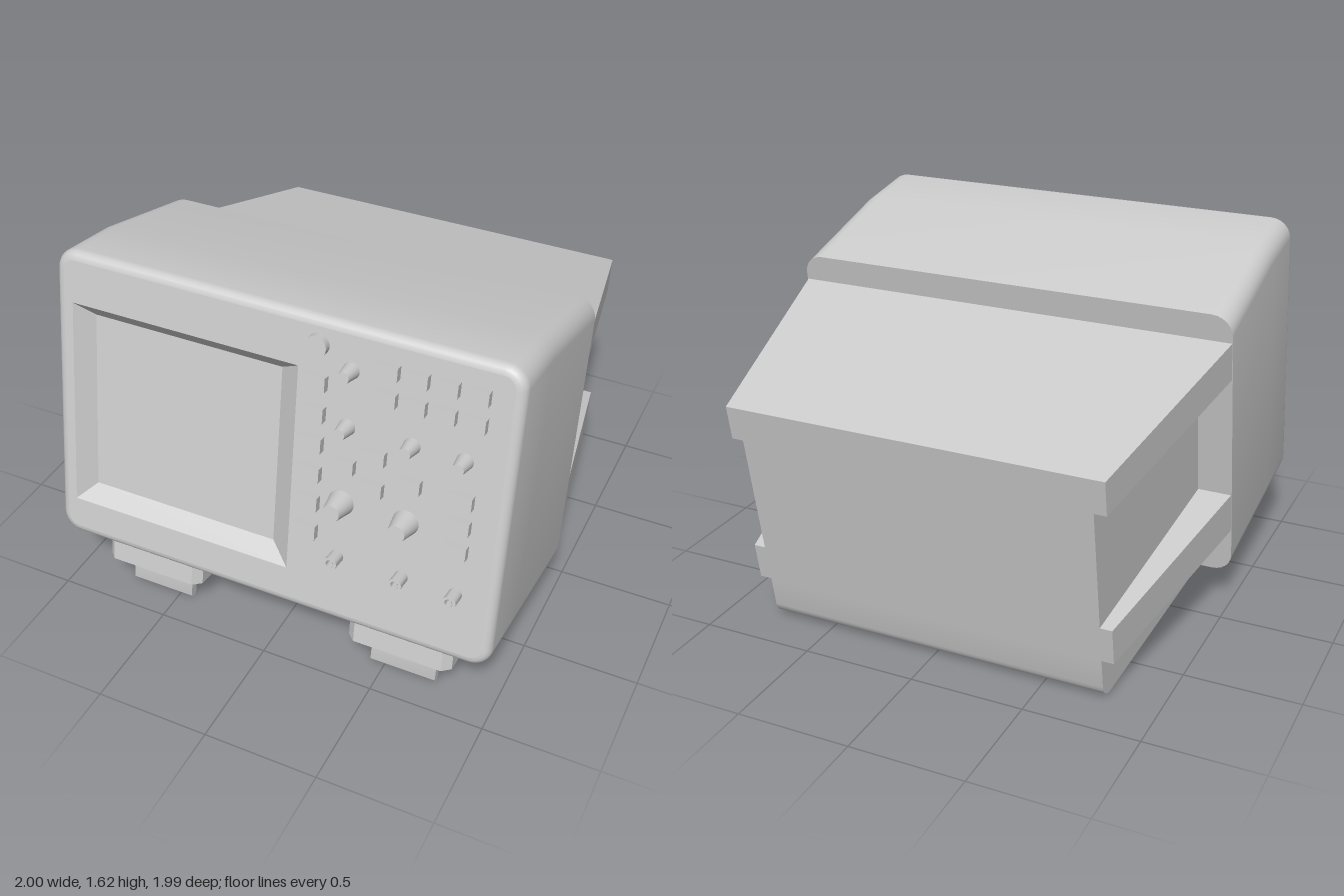
import * as THREE from 'three';
import { toCreasedNormals } from 'three/addons/utils/BufferGeometryUtils.js';

const grey = new THREE.MeshStandardMaterial({ color: 0xcccccc });
const TILT = 0.171;

function mesh(name, geometry, parent, x = 0, y = 0, z = 0) {
  const m = new THREE.Mesh(geometry, grey);
  m.name = name;
  m.position.set(x, y, z);
  parent.add(m);
  return m;
}

// Skin a row of equal-length cross-sections, each { z, pts: [[x, y], ...] }
function loft(sections, capStart, capEnd) {
  const pos = [];
  const put = (s, j) => pos.push(s.pts[j][0], s.pts[j][1], s.z);
  const n = sections[0].pts.length;
  for (let i = 0; i < sections.length - 1; i++) {
    const f = sections[i], b = sections[i + 1];
    for (let j = 0; j < n; j++) {
      const k = (j + 1) % n;
      put(f, j); put(b, j); put(b, k);
      put(f, j); put(b, k); put(f, k);
    }
  }
  const cap = (s, flip) => {
    const contour = s.pts.map(p => new THREE.Vector2(p[0], p[1]));
    for (const t of THREE.ShapeUtils.triangulateShape(contour, [])) {
      (flip ? [t[0], t[2], t[1]] : t).forEach(j => put(s, j));
    }
  };
  if (capStart) cap(sections[0], false);
  if (capEnd) cap(sections[sections.length - 1], true);
  const g = new THREE.BufferGeometry();
  g.setAttribute('position', new THREE.Float32BufferAttribute(pos, 3));
  return toCreasedNormals(g, 0.6);
}

// Counter-clockwise rounded rectangle outline
function roundedRect(x0, x1, y0, y1, r, n = 6) {
  const pts = [];
  const corners = [[x1 - r, y0 + r], [x1 - r, y1 - r], [x0 + r, y1 - r], [x0 + r, y0 + r]];
  corners.forEach(([cx, cy], c) => {
    for (let i = 0; i <= n; i++) {
      const a = (c - 1 + i / n) * Math.PI / 2;
      pts.push([cx + r * Math.cos(a), cy + r * Math.sin(a)]);
    }
  });
  return pts;
}

const rect = (x0, x1, y0, y1) => [[x0, y0], [x1, y0], [x1, y1], [x0, y1]];
const toPath = (pts, Type) => new Type(pts.map(p => new THREE.Vector2(p[0], p[1])));

function buildCase(body) {
  // Front half of the case with softened front edge and sloping top
  const R = 0.09, E = 0.04, sections = [];
  for (let i = 0; i <= 5; i++) {
    const a = i / 5 * Math.PI / 2, inset = E * (1 - Math.sin(a));
    sections.push({ z: -E * (1 - Math.cos(a)), pts: roundedRect(-1 + inset, 1 - inset, inset, 1.332 - inset, R - inset) });
  }
  sections.push({ z: -0.307, pts: roundedRect(-1, 1, 0, 1.335, R) });
  sections.push({ z: -0.865, pts: roundedRect(-1, 1, 0, 1.28, R) });
  mesh('frontCase', loft(sections, false, true), body);

  // Front panel with the screen opening
  const opening = rect(-0.92, 0.1, 0.178, 1.107);
  const panel = toPath(sections[0].pts, THREE.Shape);
  panel.holes.push(toPath(opening, THREE.Path));
  mesh('frontPanel', new THREE.ShapeGeometry(panel), body);
  mesh('screenRecess', loft([
    { z: -0.07, pts: rect(-0.855, 0, 0.24, 1.043) },
    { z: 0, pts: opening },
  ], true, false), body);

  // Tapered rear half with recessed sides and rounded lower back edge
  const rear = (w, bottom) => {
    const t = (w - 0.865) / 0.948, mix = (a, b) => a + (b - a) * t;
    const out = mix(0.997, 0.822), inn = mix(0.85, 0.77);
    const a = mix(0.225, 0.206), b = mix(0.414, 0.374), c = mix(0.99, 0.921), top = mix(1.16, 1.074);
    const side = [[inn, bottom], [inn, a], [out, a], [out, b], [inn, b], [inn, c], [out, c], [out, top]];
    return { z: -w, pts: [...side, ...side.map(([x, y]) => [-x, y]).reverse()] };
  };
  const rearSections = [rear(0.86, 0)];
  for (let i = 0; i <= 5; i++) {
    const a = i / 5 * Math.PI / 2;
    rearSections.push(rear(1.75 + 0.063 * Math.sin(a), 0.065 * (1 - Math.cos(a))));
  }
  mesh('rearCase', loft(rearSections, false, true), body);
}

function buildControls(body) {
  const up = y => (y - 0.31) / 0.985;

  // Rectangular buttons: [x, y, width, height]
  const buttons = [];
  for (let i = 0; i < 6; i++) buttons.push([0.18, 1.367 - i * 0.131, 0.098, 0.062]);
  for (const x of [0.47, 0.589, 0.708, 0.827]) {
    for (const y of [1.49, 1.378]) buttons.push([x, y, 0.095, 0.057]);
  }
  for (const [x, y] of [[0.447, 1.122], [0.447, 0.983], [0.323, 1.047], [0.6, 1.047],
    [0.812, 1.047], [0.812, 0.937], [0.812, 0.828]]) buttons.push([x, y, 0.095, 0.057]);
  for (const [x, y, w, h] of buttons) {
    mesh('button', new THREE.BoxGeometry(w, h, 0.04), body, x, up(y) - 0.004, 0.013);
  }

  const round = (name, x, y, r0, r1, h) =>
    mesh(name, new THREE.CylinderGeometry(r1, r0, h, 32).rotateX(Math.PI / 2), body, x, up(y), h / 2 - 0.003);
  round('powerButton', 0.18, 1.512, 0.045, 0.045, 0.035);

  // Tapered knobs
  for (const [x, y] of [[0.32, 1.44], [0.32, 1.202], [0.59, 1.202], [0.803, 1.202]]) {
    round('smallKnob', x, y, 0.035, 0.024, 0.078);
  }
  for (const x of [0.32, 0.595]) round('largeKnob', x, 0.868, 0.055, 0.036, 0.1);

  // Hollow input sockets with a centre pin
  const profile = [[0.028, 0], [0.028, 0.068], [0.017, 0.068], [0.017, 0.02], [0.008, 0.02],
    [0.008, 0.062], [0, 0.062]].map(p => new THREE.Vector2(...p));
  const socket = toCreasedNormals(new THREE.LatheGeometry(profile, 24).rotateX(Math.PI / 2), 0.6);
  for (const x of [0.32, 0.6, 0.828]) mesh('inputSocket', socket, body, x, up(0.62), 0);
}

function buildFeet(body, model) {
  // Chamfered foot block with a slot for the folding leg
  const w = 0.232, d = 0.095, c = 0.035;
  const outline = toPath([[-w + c, -d], [w - c, -d], [w, -d + c], [w, d - c],
    [w - c, d], [-w + c, d], [-w, d - c], [-w, -d + c]], THREE.Shape);
  outline.holes.push(toPath(rect(-0.165, 0.165, -0.055, 0.055), THREE.Path));
  const block = new THREE.ExtrudeGeometry(outline, { depth: 0.14, bevelEnabled: false }).rotateX(Math.PI / 2);

  // Flat leg with a rounded tip, pivoting on a hinge bar
  const leg = new THREE.Shape();
  leg.moveTo(-0.019, 0.2);
  leg.lineTo(-0.019, 0.019);
  leg.absarc(0, 0.019, 0.019, Math.PI, Math.PI * 2, false);
  leg.lineTo(0.019, 0.2);
  const legGeometry = toCreasedNormals(new THREE.ExtrudeGeometry(leg,
    { depth: 0.295, bevelEnabled: false, curveSegments: 10 }).translate(0, 0, -0.1475).rotateY(-Math.PI / 2), 0.6);

  for (const side of [-1, 1]) {
    const x = side * 0.585;
    mesh('footBlock', block, body, x, 0.003, -0.175);
    mesh('footHinge', new THREE.CylinderGeometry(0.03, 0.03, 0.33, 20).rotateZ(Math.PI / 2), body, x, -0.1, -0.175);
    mesh('foldingLeg', legGeometry, model, x, 0, 0.842).rotation.x = -0.225;
  }
}

export function createModel() {
  const model = new THREE.Group();
  model.name = 'oscilloscope';
  // The whole case leans back; its origin is the lower front edge
  const body = new THREE.Group();
  body.name = 'tiltedBody';
  body.position.set(0, 0.31, 0.98);
  body.rotation.x = -TILT;
  model.add(body);
  buildCase(body);
  buildControls(body);
  buildFeet(body, model);
  return model;
}
